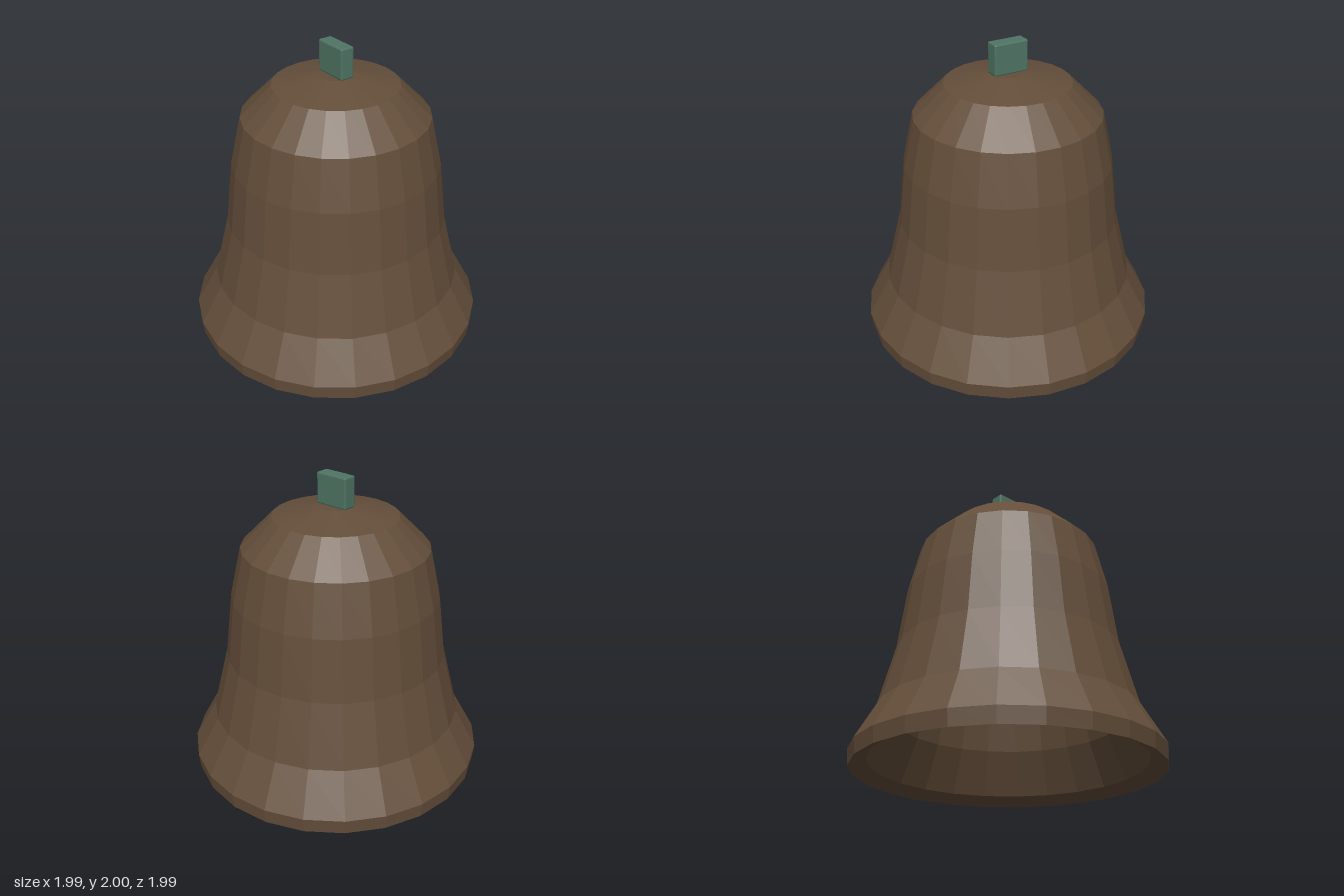
import * as THREE from 'three';
import { RoundedBoxGeometry } from 'three/addons/geometries/RoundedBoxGeometry.js';

const bronze = new THREE.MeshStandardMaterial({ name: 'bronze', color: 0x644e3a, flatShading: true });
const patina = new THREE.MeshStandardMaterial({ name: 'patina', color: 0x4f7564, flatShading: true });

// Revolved part from [radius, height] pairs
function lathe(name, profile, sides) {
  const points = profile.map(([r, y]) => new THREE.Vector2(r, y));
  const mesh = new THREE.Mesh(new THREE.LatheGeometry(points, sides), bronze);
  mesh.name = name;
  return mesh;
}

export function createModel() {
  const bell = new THREE.Group();
  bell.name = 'bell';

  // Thick shell: down the inside, round the sloped lip, up the outside
  const inside = [
    [0, 1.7], [0.36, 1.65], [0.53, 1.48], [0.6, 1.18],
    [0.65, 0.78], [0.75, 0.35], [0.88, 0.055],
  ];
  const outside = [
    [0.985, 0], [0.995, 0.1], [0.845, 0.37], [0.74, 0.79], [0.69, 1.2],
    [0.615, 1.53], [0.41, 1.735], [0.12, 1.797], [0, 1.797],
  ];
  bell.add(lathe('shell', [...inside, ...outside], 24));

  // Clapper: rod with a tapered weight hanging inside
  bell.add(lathe('clapper', [
    [0, 0.39], [0.045, 0.39], [0.14, 0.49], [0.14, 0.54],
    [0.06, 0.66], [0.035, 0.72], [0.035, 1.7],
  ], 12));

  // Mounting block on the crown
  const mount = new THREE.Mesh(new RoundedBoxGeometry(0.236, 0.205, 0.095, 1, 0.01), patina);
  mount.name = 'mountingBlock';
  mount.position.y = 1.8975;
  bell.add(mount);

  return bell;
}
